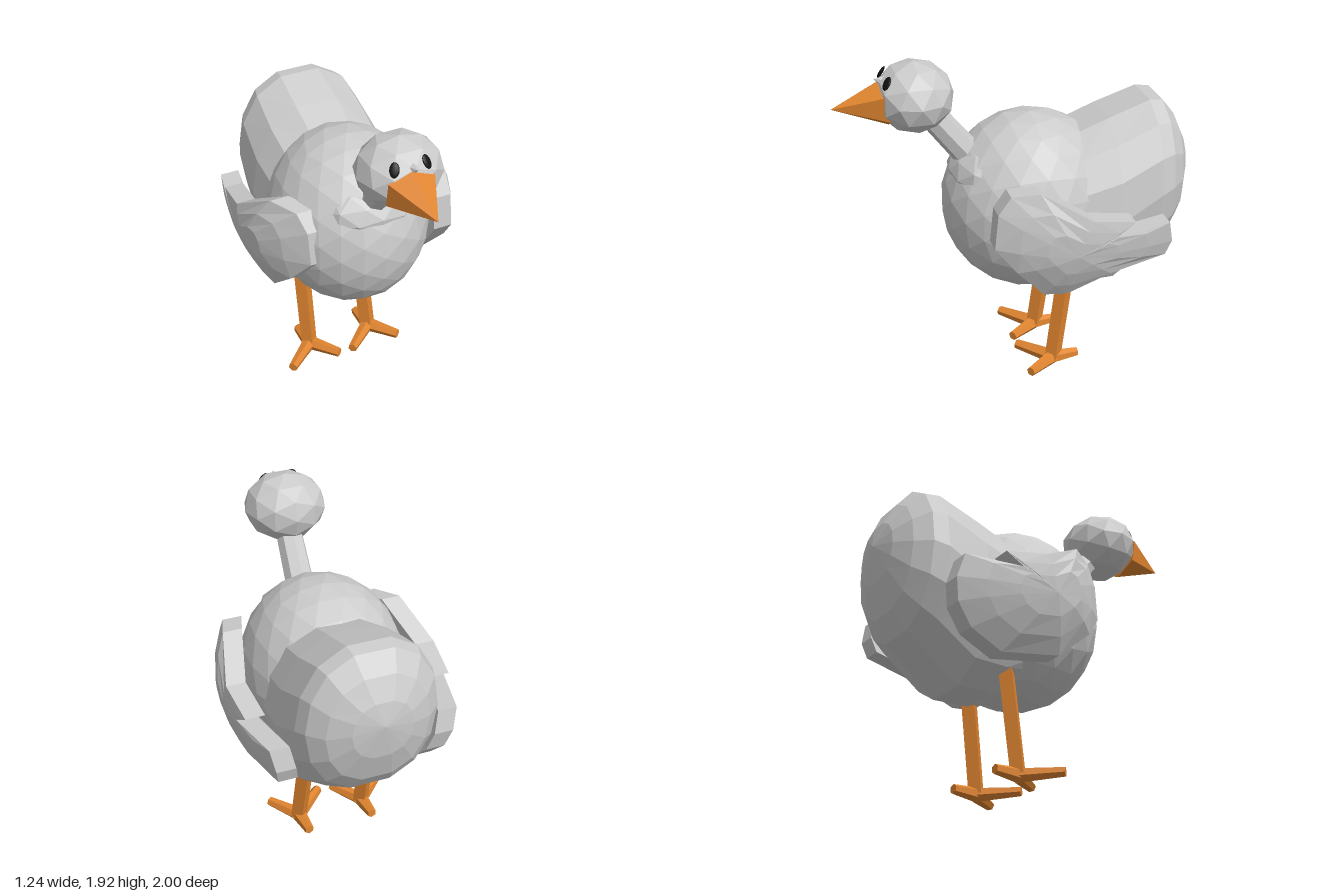
import * as THREE from 'three';

const paint = (color) => new THREE.MeshStandardMaterial({ color, flatShading: true });
const V = (x, y, z) => new THREE.Vector3(x, y, z);

export function createModel() {
  const model = new THREE.Group();
  const grey = paint(0xcccccc), orange = paint(0xe08530), black = paint(0x111111);

  function add(name, geometry, material, parent = model) {
    const mesh = new THREE.Mesh(geometry, material);
    mesh.name = name;
    parent.add(mesh);
    return mesh;
  }

  // Faceted ellipsoid
  function ball(name, center, radii, detail, material = grey) {
    const mesh = add(name, new THREE.IcosahedronGeometry(1, detail), material);
    mesh.position.set(...center);
    mesh.scale.set(...radii);
    return mesh;
  }

  // Tapered rod between two points
  function rod(name, from, to, r0, r1, sides, material, parent) {
    const dir = to.clone().sub(from);
    const mesh = add(name, new THREE.CylinderGeometry(r1, r0, dir.length(), sides), material, parent);
    mesh.position.copy(from).addScaledVector(dir, 0.5);
    mesh.quaternion.setFromUnitVectors(V(0, 1, 0), dir.normalize());
    return mesh;
  }

  // Skin over a series of closed rings
  function loft(rings) {
    const n = rings[0].length, index = [];
    for (let i = 0; i < rings.length - 1; i++) {
      for (let j = 0; j < n; j++) {
        const a = i * n + j, b = i * n + (j + 1) % n;
        index.push(a, b, a + n, b, b + n, a + n);
      }
    }
    const geometry = new THREE.BufferGeometry().setFromPoints(rings.flat());
    geometry.setIndex(index);
    geometry.computeVertexNormals();
    return geometry;
  }

  // Rounded breast with a soft ruff below the neck
  ball('breast', [-0.01, 1.04, -0.09], [0.46, 0.525, 0.505], 3);
  ball('chestRuff', [-0.01, 1.29, 0.2], [0.27, 0.13, 0.19], 1).rotation.x = 0.5;

  // Rump rising to the tail: z, top, bottom, half width
  const sections = [
    [0, 1.2, 0.6, 0.36], [-0.3, 1.45, 0.52, 0.41], [-0.51, 1.53, 0.51, 0.42],
    [-0.75, 1.61, 0.69, 0.4], [-0.83, 1.6, 0.75, 0.37], [-0.91, 1.5, 0.86, 0.29],
    [-0.97, 1.38, 1.04, 0.17], [-1, 1.25, 1.25, 0],
  ];
  add('rump', loft(sections.map(([z, top, bottom, w]) =>
    Array.from({ length: 14 }, (_, j) => {
      const t = ((j + 0.5) / 14) * Math.PI * 2, s = Math.sin(t);
      const c = Math.cos(t) / Math.cos(Math.PI / 14);
      return V(w * Math.sign(s) * Math.abs(s) ** 0.8, (top + bottom) / 2 + c * (top - bottom) / 2, z);
    }))), grey);

  // Curved wings with a feather notch behind: outline as z, y
  const upperEdge = [
    [0.24, 1.0], [0.22, 1.2], [0.15, 1.3], [0, 1.32], [-0.27, 1.16], [-0.52, 1.11],
    [-0.42, 1.04], [-0.74, 1.05], [-0.77, 0.92],
  ];
  function wing(name, lowerEdge, frontCurve) {
    const outline = [...upperEdge, ...lowerEdge];
    const ring = ([scale, inset]) => outline.map(([oz, oy]) => {
      const z = -0.2 + (oz + 0.2) * scale, y = 0.95 + (oy - 0.95) * scale;
      const curve = z > -0.2 ? frontCurve : 0.3;
      return V(0.62 - inset - curve * (z + 0.2) ** 2 - 0.85 * (y - 1.06) ** 2, y, z);
    });
    return add(name, loft([[0, 0], [0.4, 0], [0.72, 0], [1, 0], [1, 0.11], [0.5, 0.13], [0, 0.13]].map(ring)), grey);
  }
  wing('leftWing', [[-0.74, 0.83], [-0.4, 0.79], [-0.17, 0.66], [-0.04, 0.67], [0.12, 0.85]], 0.65);
  wing('rightWing', [[-0.74, 0.8], [-0.64, 0.69], [-0.44, 0.61], [-0.1, 0.66], [0.12, 0.85]], 1.2).scale.x = -1;

  // Neck, head and pointed brow
  rod('neck', V(-0.01, 1.3, 0.22), V(-0.015, 1.64, 0.49), 0.085, 0.075, 8, grey);
  ball('head', [-0.025, 1.72, 0.55], [0.238, 0.197, 0.218], 1);
  rod('brow', V(-0.03, 1.775, 0.6), V(-0.03, 1.835, 0.765), 0.1, 0, 6, grey);

  // Six-sided beak
  const hexagon = [[0, 0.13], [0.13, 0.075], [0.13, -0.065], [0, -0.13], [-0.13, -0.065], [-0.13, 0.075]];
  const beakRing = (s, z, y) => hexagon.map(([hx, hy]) =>
    V(-0.04 + hx * s, y + hy * s, z + (s ? hy * 0.15 : 0)));
  add('beak', loft([beakRing(0, 1, 1.68), beakRing(1, 0.71, 1.69), beakRing(0, 0.71, 1.69)]), orange);

  // Flat oval eyes
  for (const [name, x, side] of [['rightEye', -0.13, -1], ['leftEye', 0.05, 1]]) {
    ball(name, [x, 1.83, 0.706], [0.026, 0.04, 0.01], 2, black).rotation.set(-0.6, side * 0.4, side * 0.3);
  }

  // Legs, each with two front toes and a back toe
  for (const [name, topX, x] of [['rightLeg', -0.23, -0.225], ['leftLeg', 0.145, 0.175]]) {
    const leg = new THREE.Group();
    leg.name = name;
    model.add(leg);
    rod('shank', V(x, 0.03, -0.19), V(topX, 0.62, -0.275), 0.05, 0.052, 4, orange, leg);
    for (const [dx, dz] of [[-0.185, 0.17], [0.125, 0.17], [-0.01, -0.155]]) {
      rod('toe', V(x, 0.043, -0.19), V(x + dx, 0.045, -0.19 + dz), 0.043, 0.028, 6, orange, leg);
    }
  }
  return model;
}
